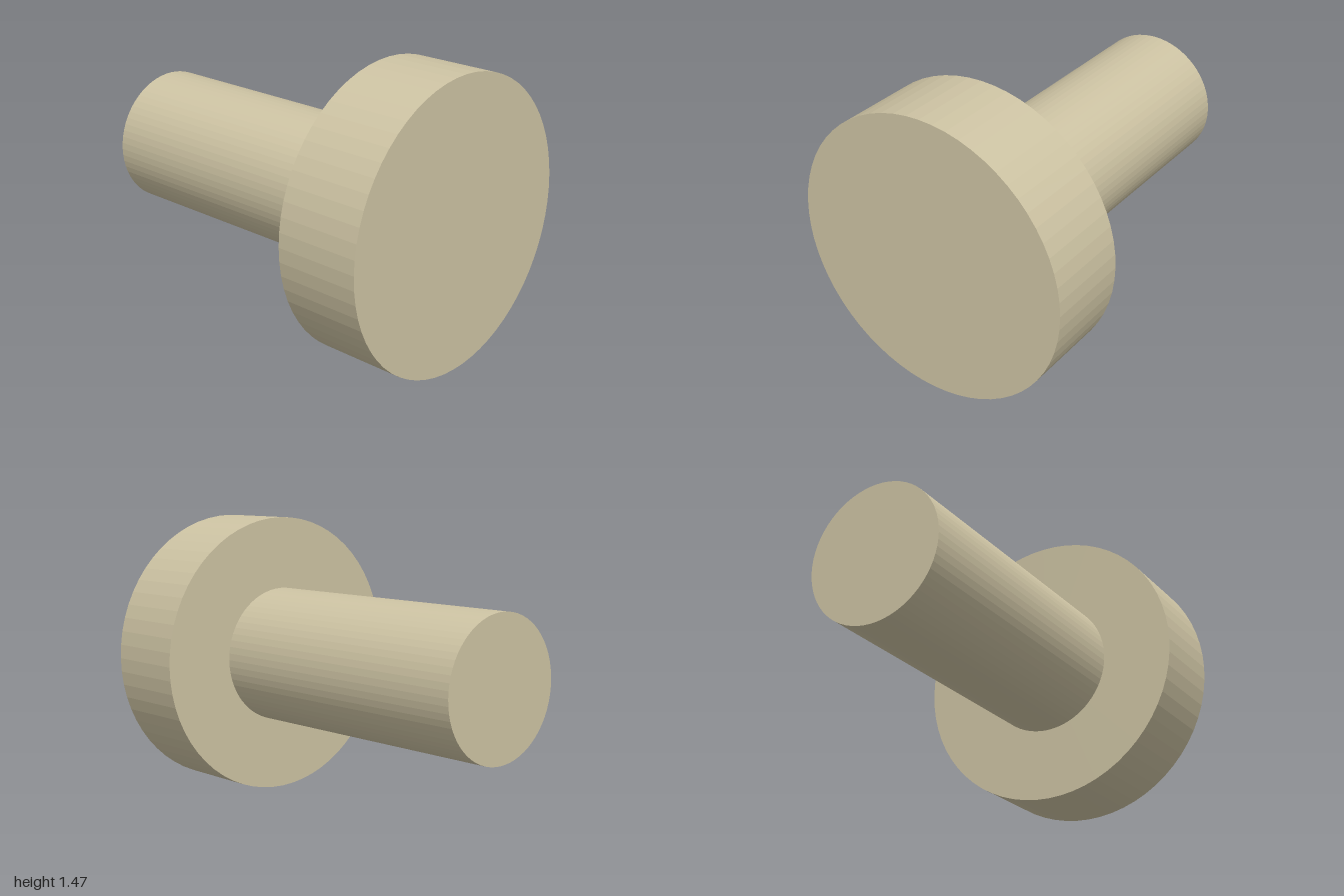
import * as THREE from 'three';

const SIDES = 64;
const HEAD_RADIUS = 0.733;
const SHAFT_RADIUS = 0.356;
const SHOULDER_X = 0.556; // where the shaft meets the head

export function createModel() {
  const group = new THREE.Group();
  const material = new THREE.MeshStandardMaterial({ color: 0xcdc3a3, flatShading: true });

  // Cylinder lying along x between two positions
  const addRod = (name, radius, x0, x1) => {
    const geometry = new THREE.CylinderGeometry(radius, radius, x1 - x0, SIDES);
    geometry.rotateZ(-Math.PI / 2);
    const mesh = new THREE.Mesh(geometry, material);
    mesh.name = name;
    mesh.position.set((x0 + x1) / 2, HEAD_RADIUS, 0);
    group.add(mesh);
  };

  addRod('shaft', SHAFT_RADIUS, -1, SHOULDER_X);
  addRod('head', HEAD_RADIUS, SHOULDER_X, 1);

  return group;
}
